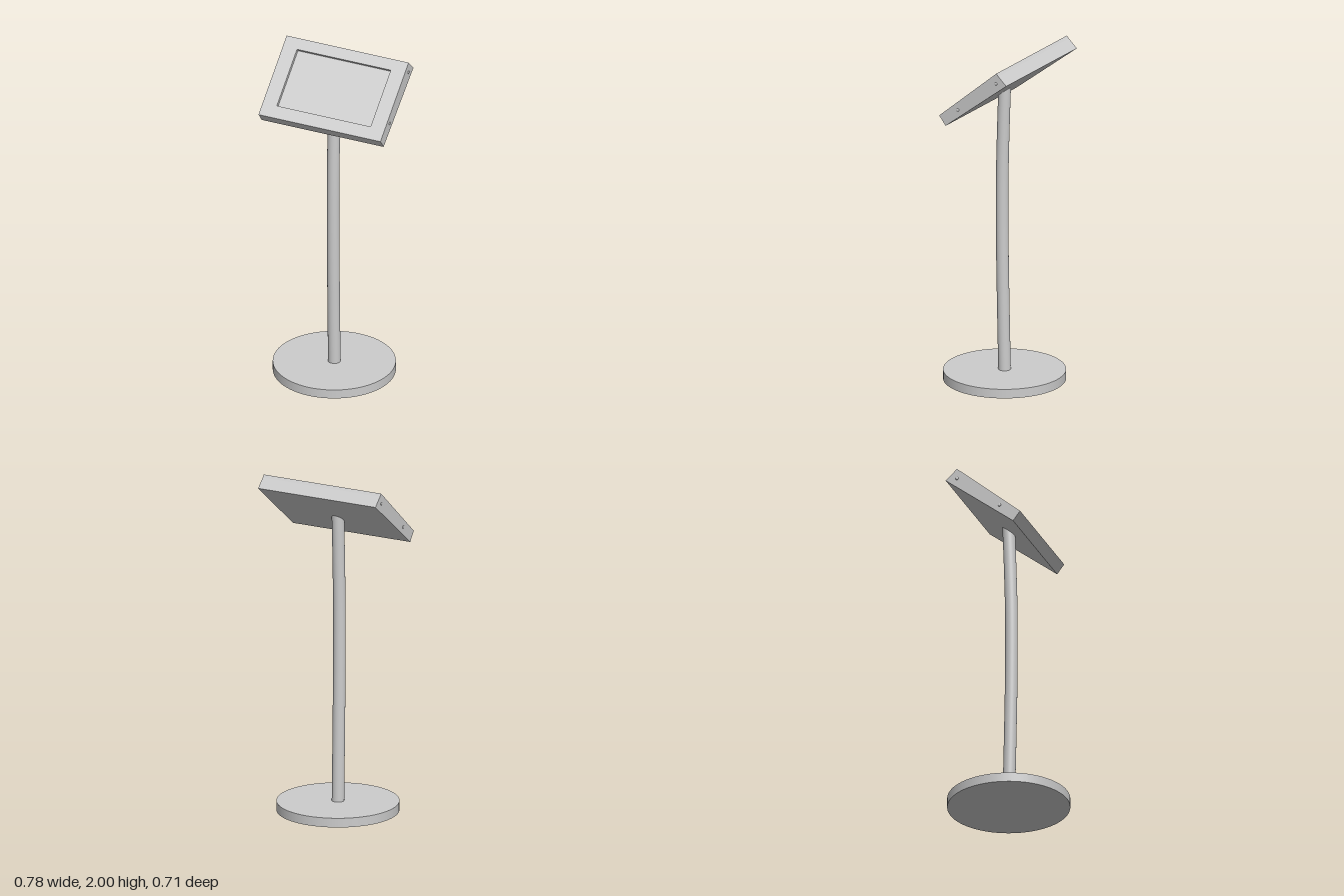
import * as THREE from 'three';

export function createModel() {
  const model = new THREE.Group();
  const material = new THREE.MeshStandardMaterial({ color: 0xcccccc });
  const add = (parent, name, geometry) => {
    const mesh = new THREE.Mesh(geometry, material);
    mesh.name = name;
    parent.add(mesh);
    return mesh;
  };

  // Round floor plate
  add(model, 'base', new THREE.CylinderGeometry(0.353, 0.353, 0.055, 72)).position.y = 0.0275;

  // Post, bowed slightly forward, ending inside the housing
  const path = new THREE.CatmullRomCurve3([
    [0.04, 0], [0.4, 0.008], [0.8, 0.015], [1.2, 0.016], [1.5, 0.009], [1.78, -0.001],
  ].map(([y, z]) => new THREE.Vector3(0, y, z)));
  add(model, 'post', new THREE.TubeGeometry(path, 40, 0.036, 32));

  // Tilted head: local y runs up the slope, local z out of the screen
  const head = new THREE.Group();
  head.name = 'head';
  head.position.set(0, 1.836, 0.0105);
  head.rotation.x = -0.869;
  model.add(head);

  const halfW = 0.385, halfH = 0.252, recess = 0.02;

  // Bezel frame around the recessed screen
  const frame = new THREE.Shape([
    [-halfW, -halfH], [halfW, -halfH], [halfW, halfH], [-halfW, halfH],
  ].map(p => new THREE.Vector2(...p)));
  frame.holes.push(new THREE.Path([
    [-0.296, -0.176], [-0.296, 0.184], [0.296, 0.184], [0.296, -0.176],
  ].map(p => new THREE.Vector2(...p))));
  const bezel = new THREE.ExtrudeGeometry(frame, { depth: recess, bevelEnabled: false });
  add(head, 'bezel', bezel).position.z = -recess;

  // Housing, slightly deeper at the top; its front is the screen surface.
  // Profile is drawn as (-z, y) and swept along x.
  const profile = new THREE.Shape([
    [recess, -halfH], [0.07, -0.255], [0.093, 0.261], [recess, halfH],
  ].map(p => new THREE.Vector2(...p)));
  const housing = new THREE.ExtrudeGeometry(profile, { depth: halfW * 2, bevelEnabled: false });
  housing.translate(0, 0, -halfW).rotateY(Math.PI / 2);
  add(head, 'housing', housing);

  // Domed screws on both sides
  for (const side of [-1, 1]) {
    for (const [y, z] of [[0.21, -0.046], [-0.12, -0.038]]) {
      const screw = add(head, 'sideScrew',
        new THREE.SphereGeometry(0.009, 16, 8, 0, Math.PI * 2, 0, Math.PI / 2));
      screw.scale.y = 0.5;
      screw.rotation.z = -side * Math.PI / 2;
      screw.position.set(side * halfW, y, z);
    }
  }

  return model;
}
